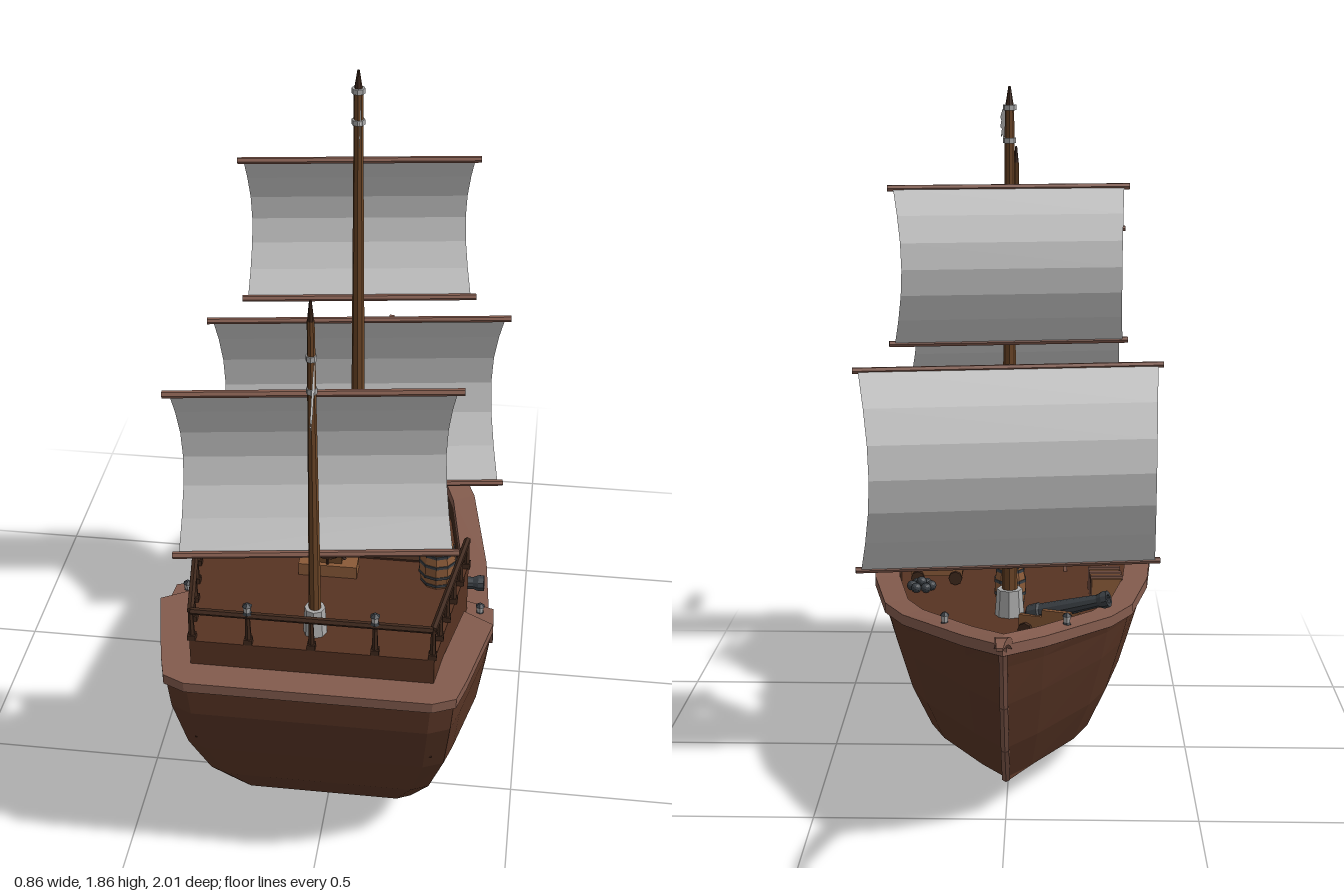
import * as THREE from 'three';

const mat = (color, side = THREE.FrontSide) => new THREE.MeshStandardMaterial({ color, side, flatShading: true });
const HULL = mat(0x5a3626), RAIL = mat(0x835b4d), DECK = mat(0x573322), WOOD = mat(0x6b4526), DARK = mat(0x3f281c);
const CRATE = mat(0x8a5a38), IRON = mat(0x3a3f44), STEEL = mat(0xaaaaaa), CLOTH = mat(0xcccccc, THREE.DoubleSide);
const GLASS = mat(0xb8cccc);

function add(parent, name, geo, material, pos = [0, 0, 0], rot = [0, 0, 0]) {
  const m = new THREE.Mesh(geo, material);
  m.name = name;
  m.position.set(...pos);
  m.rotation.set(...rot);
  parent.add(m);
  return m;
}
function group(parent, name, pos = [0, 0, 0], rotY = 0) {
  const g = new THREE.Group();
  g.name = name;
  g.position.set(...pos);
  g.rotation.y = rotY;
  parent.add(g);
  return g;
}
const box = (x, y, z) => new THREE.BoxGeometry(x, y, z);
const cyl = (rt, rb, h, n = 8) => new THREE.CylinderGeometry(rt, rb, h, n);

// Rod between two points
function rod(parent, name, a, b, r, material) {
  const A = new THREE.Vector3(...a), B = new THREE.Vector3(...b), d = B.clone().sub(A);
  const m = add(parent, name, cyl(r, r, d.length(), 6), material);
  m.position.copy(A).add(B).multiplyScalar(0.5);
  m.quaternion.setFromUnitVectors(new THREE.Vector3(0, 1, 0), d.normalize());
}

// Skin between closed rings, listed bottom to top outside, then down inside
function loft(rings) {
  const n = rings[0].length, pos = rings.flat(2), idx = [];
  for (let i = 0; i < rings.length - 1; i++) for (let j = 0; j < n; j++) {
    const k = (j + 1) % n, a = i * n + j, b = i * n + k, c = b + n, d = a + n;
    idx.push(a, b, c, a, c, d);
  }
  const g = new THREE.BufferGeometry();
  g.setAttribute('position', new THREE.Float32BufferAttribute(pos, 3));
  g.setIndex(idx);
  g.computeVertexNormals();
  return g;
}

// Half outline of the gunwale, stern to bow: x, z, height
const OUTLINE = [[0, .915, .66], [.3, .915, .66], [.355, .89, .66], [.375, .82, .66], [.425, .6, .66], [.425, .555, .59],
  [.42, .44, .58], [.41, .385, .478], [.385, .1, .47], [.33, -.2, .488], [.27, -.35, .503], [.1, -.62, .54], [0, -.75, .56]];
// Full ring from a width scale, stern z, bow z and a height rule
function ring(sx, stern, bow, yOf) {
  const half = OUTLINE.map(([x, z, y]) => {
    const nz = stern + (bow - stern) * (.915 - z) / 1.665;
    return [x * sx, yOf(y, nz), nz];
  });
  const other = half.slice(1, -1).reverse().map(([x, y, z]) => [-x, y, z]);
  return [...half, ...other];
}

function buildHull(root) {
  const g = group(root, 'hull');
  add(g, 'planking', loft([
    ring(0, .62, -.45, (y, z) => .085 * Math.abs((z - .08) / .54) ** 1.5),
    ring(.66, .67, -.45, () => .095),
    ring(.81, .76, -.56, () => .22),
    ring(.925, .83, -.655, () => .37),
    ring(.975, .905, -.71, y => y - .04 - (y - .47) * .35),
    ring(1, .915, -.75, y => y)]), HULL);
  add(g, 'gunwale', loft([
    ring(.99, .91, -.745, y => y - .03),
    ring(1.012, .92, -.758, y => y - .025),
    ring(1.012, .92, -.758, y => y + .003),
    ring(.83, .845, -.672, y => y + .003),
    ring(.83, .845, -.672, y => y - .025)]), RAIL);
  add(g, 'bulwark', loft([ring(.835, .85, -.675, y => y - .01), ring(.82, .84, -.66, () => .42)]), DARK);
  add(g, 'mainDeck', loft([ring(.84, .85, -.68, () => .42), ring(0, .85, -.68, () => .42)]), DECK);
  const stem = [[.56, -.75], [.49, -.71], [.37, -.655], [.22, -.56], [.095, -.452]];
  for (let i = 0; i < 4; i++)
    rod(g, 'stem', [0, ...stem[i]], [0, ...stem[i + 1]], .012, RAIL);
  // Curved prow, tapering to its tip
  const s = new THREE.Shape();
  s.moveTo(.72, .54);
  s.quadraticCurveTo(.85, .61, 1, .633);
  s.lineTo(1, .64);
  s.quadraticCurveTo(.85, .63, .72, .565);
  const geo = new THREE.ExtrudeGeometry(s, { depth: .044, bevelEnabled: false, curveSegments: 5 }).translate(0, 0, -.022);
  const p = geo.attributes.position;
  for (let i = 0; i < p.count; i++) p.setZ(i, p.getZ(i) * (1 - .65 * (p.getX(i) - .72) / .28));
  geo.computeVertexNormals();
  add(g, 'prow', geo, RAIL, [0, 0, 0], [0, Math.PI / 2, 0]);
}

function buildCabin(root) {
  const g = group(root, 'cabin');
  const s = new THREE.Shape([[-.355, -.455], [.355, -.455], [.3, -.845], [-.3, -.845]].map(p => new THREE.Vector2(...p)).reverse());
  add(g, 'quarterDeck', new THREE.ExtrudeGeometry(s, { depth: .315, bevelEnabled: false }), DECK, [0, .42, 0], [-Math.PI / 2, 0, 0]);
  add(g, 'deckEdge', box(.71, .02, .02), DARK, [0, .73, .452]);
  add(g, 'door', box(.11, .2, .012), RAIL, [0, .52, .452]);
  const w = group(g, 'window', [.2, .58, .452]);
  add(w, 'frame', box(.15, .12, .01), WOOD);
  for (const x of [-.045, 0, .045]) for (const y of [-.027, .027])
    add(w, 'pane', box(.036, .045, .01), GLASS, [x, y, -.003]);
  // Steep stair up to the quarter deck
  const st = group(g, 'stairs');
  for (let i = 0; i < 8; i++) add(st, 'step', box(.12, .012, .03), WOOD, [-.22, .45 + i * .037, .36 + i * .0125]);
  for (const x of [-.283, -.157])
    add(st, 'stringer', box(.01, .34, .035), RAIL, [x, .575, .405], [.31, 0, 0]);
  // Railing round the sides and stern
  const r = group(g, 'railing');
  const post = (x, z) => {
    add(r, 'post', cyl(.006, .009, .085, 6), DARK, [x, .777, z]);
    add(r, 'postFoot', box(.02, .015, .02), DARK, [x, .742, z]);
  };
  for (const sgn of [-1, 1]) {
    rod(r, 'handrail', [sgn * .35, .82, .465], [sgn * .295, .82, .835], .009, DARK);
    for (let i = 0; i < 6; i++) post(sgn * (.35 - .011 * i), .465 + .074 * i);
    post(sgn * .155, .835);
    lantern(r, [sgn * .155, .825, .835]);
  }
  rod(r, 'handrail', [-.295, .82, .835], [.295, .82, .835], .009, DARK);
  post(0, .835);
}

function lantern(parent, pos) {
  const g = group(parent, 'lantern', pos);
  add(g, 'lampBase', cyl(.009, .012, .008, 6), IRON, [0, .004, 0]);
  add(g, 'lampGlass', cyl(.011, .009, .016, 6), STEEL, [0, .016, 0]);
  add(g, 'lampCap', cyl(.004, .013, .008, 6), IRON, [0, .028, 0]);
}

function buildWheel(root) {
  const g = group(root, 'steeringWheel', [0, .735, .525]);
  add(g, 'base', box(.15, .035, .055), CRATE, [0, .018, 0]);
  add(g, 'stand', box(.07, .1, .03), WOOD, [0, .07, 0]);
  add(g, 'rim', new THREE.TorusGeometry(.045, .006, 5, 14), DARK, [0, .105, .025]);
  add(g, 'hub', cyl(.012, .012, .03), DARK, [0, .105, .02], [Math.PI / 2, 0, 0]);
  for (let i = 0; i < 4; i++) add(g, 'spokes', cyl(.004, .004, .13, 5), DARK, [0, .105, .025], [0, 0, i * Math.PI / 4]);
}

// Yard pair with a bellied sail between; y is the lower yard
function buildSail(parent, name, y0, y1, half, depth) {
  const g = group(parent, name), h = y1 - y0;
  const geo = new THREE.PlaneGeometry(2 * half - .03, h, 1, 6), p = geo.attributes.position;
  for (let i = 0; i < p.count; i++) {
    const b = Math.sin(Math.PI * (p.getY(i) / h + .5));
    p.setXYZ(i, p.getX(i) * (1 - .05 * b), p.getY(i), -depth * b - .005);
  }
  geo.computeVertexNormals();
  add(g, 'sailCloth', geo, CLOTH, [0, (y0 + y1) / 2, 0]);
  for (const y of [y0, y1]) add(g, 'yard', cyl(.009, .009, 2 * half, 6), RAIL, [0, y, 0], [0, 0, Math.PI / 2]);
}

function buildMast(root, name, z, y0, y1, r, flagY) {
  const g = group(root, name, [0, 0, z]);
  add(g, 'pole', cyl(r * .55, r, y1 - y0 - .05), WOOD, [0, (y0 + y1 - .05) / 2, 0]);
  add(g, 'tip', cyl(.003, r * .5, .05), DARK, [0, y1 - .025, 0]);
  add(g, 'collar', cyl(r * 1.6, r * 1.9, .09), STEEL, [0, y0 + .03, 0]);
  for (const y of [0, .085]) add(g, 'flagRing', cyl(r * .8, r * .8, .014), STEEL, [0, flagY + y, 0]);
  // Torn pennant trailing aft
  const s = new THREE.Shape([[0, .01], [0, .085], [.08, .085], [.15, .075], [.235, .05], [.19, .045], [.23, .025], [.17, .022],
    [.215, -.005], [.15, .008], [.1, 0], [.05, .012]].reverse().map(p => new THREE.Vector2(...p)));
  add(g, 'flag', new THREE.ShapeGeometry(s), CLOTH, [.008, flagY, .008], [0, -Math.PI / 2 + .1, 0]);
}

function buildCannon(root, pos, rotY, tilt) {
  const g = group(root, 'cannon', pos, rotY);
  for (const z of [-.028, .028]) {
    add(g, 'cheek', box(.15, .035, .014), CRATE, [-.02, .042, z]);
    add(g, 'cheekStep', box(.08, .02, .014), CRATE, [.01, .068, z]);
    for (const x of [-.075, .035]) add(g, 'wheel', cyl(.02, .02, .012), DARK, [x, .02, z * 1.45], [Math.PI / 2, 0, 0]);
  }
  add(g, 'bed', box(.15, .015, .05), WOOD, [-.02, .032, 0]);
  const profile = [[0, -.13], [.01, -.125], [.008, -.112], [.026, -.1], [.028, -.07], [.024, -.065], [.021, .02], [.017, .1],
    [.023, .115], [.022, .13], [.012, .13], [.012, .09], [0, .09]].map(p => new THREE.Vector2(...p));
  add(g, 'barrel', new THREE.LatheGeometry(profile, 10), IRON, [.02, .08, 0], [0, 0, -Math.PI / 2 + tilt]);
}

function buildCask(root, pos, r, h, filled) {
  const g = group(root, 'cask', pos);
  const prof = [[0, 0], [.82, 0], [1, .35], [1, .65], [.82, 1], [0, 1]].map(([x, y]) => new THREE.Vector2(x * r, y * h));
  add(g, 'staves', new THREE.LatheGeometry(prof, 10), CRATE);
  for (const y of [.1, .35, .65, .9])
    add(g, 'hoop', cyl(r * (y % .8 < .2 ? .92 : 1.03), r * (y % .8 < .2 ? .92 : 1.03), h * .07, 10), IRON, [0, y * h, 0]);
  if (filled) ballPile(g, [0, h - .008, 0]);
}

function ballPile(parent, pos) {
  const g = group(parent, 'cannonBalls', pos);
  const ball = (x, y, z) => add(g, 'ball', new THREE.IcosahedronGeometry(.015, 1), IRON, [x, y, z]);
  for (let i = 0; i < 6; i++) ball(.028 * Math.cos(i * Math.PI / 3), .014, .028 * Math.sin(i * Math.PI / 3));
  ball(0, .026, 0);
}

export function createModel() {
  const root = new THREE.Group();
  root.name = 'sailingShip';
  buildHull(root);
  buildCabin(root);
  buildWheel(root);
  buildMast(root, 'mainMast', -.08, .42, 1.86, .022, 1.72);
  buildMast(root, 'aftMast', .77, .735, 1.66, .016, 1.43);

  // Sails, braced at a slight angle
  const main = group(root, 'mainSails', [0, 0, -.108], .14);
  buildSail(main, 'mainSail', .57, 1.12, .42, .108);
  buildSail(main, 'topSail', 1.19, 1.6, .32, .072);
  buildSail(group(root, 'aftSails', [0, 0, .742], .14), 'aftSail', .95, 1.405, .345, .08);

  // Deck fittings and cargo
  buildCannon(root, [.24, .42, .235], 0, .05);
  buildCannon(root, [-.13, .42, -.26], Math.PI - .33, .3);
  buildCask(root, [0, .42, 0], .045, .12, true);
  buildCask(root, [.28, .735, .53], .048, .11, false);
  ballPile(root, [.26, .42, .14]);
  const chest = group(root, 'crate', [-.27, .42, .12], .05);
  add(chest, 'crateBody', box(.085, .06, .12), CRATE, [0, .03, 0]);
  for (const z of [-.045, 0, .045]) add(chest, 'crateBand', box(.092, .066, .014), RAIL, [0, .033, z]);
  for (const s of [-1, 1]) {
    lantern(root, [s * .155, .525, -.485]);
    lantern(root, [s * .39, .582, .46]);
  }
  return root;
}
